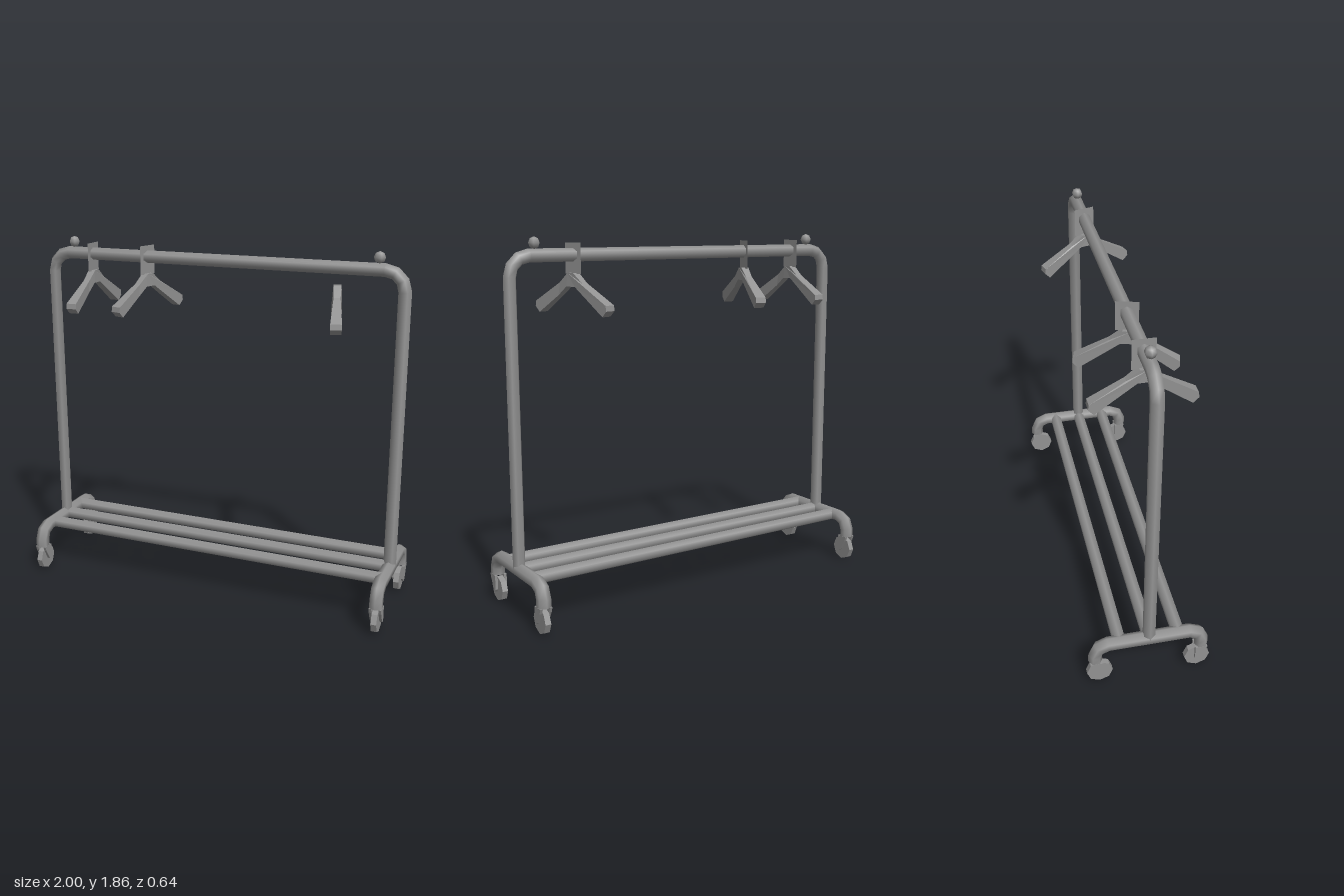
import * as THREE from 'three';

const grey = new THREE.MeshStandardMaterial({ color: 0x929292, side: THREE.DoubleSide });
const flatGrey = new THREE.MeshStandardMaterial({ color: 0x929292, flatShading: true, side: THREE.DoubleSide });

const v3 = (x, y, z) => new THREE.Vector3(x, y, z);

function addMesh(parent, name, geometry, material = flatGrey) {
  const mesh = new THREE.Mesh(geometry, material);
  mesh.name = name;
  parent.add(mesh);
  return mesh;
}

// Polyline in one plane, with frames that keep the tube's corners in that plane
class PlanarPath extends THREE.Curve {
  constructor(points, planeNormal) {
    super();
    this.points = points;
    this.planeNormal = planeNormal;
  }
  getPoint(t, target = v3(0, 0, 0)) {
    return target.copy(this.points[Math.round(t * (this.points.length - 1))]);
  }
  getPointAt(t, target) {
    return this.getPoint(t, target);
  }
  computeFrenetFrames() {
    const p = this.points, last = p.length - 1;
    const tangents = p.map((q, i) => {
      const t = v3(0, 0, 0);
      if (i > 0) t.add(q.clone().sub(p[i - 1]).normalize());
      if (i < last) t.add(p[i + 1].clone().sub(q).normalize());
      return t.normalize();
    });
    const normals = tangents.map((t) => this.planeNormal.clone().cross(t));
    return { tangents, normals, binormals: p.map(() => this.planeNormal.clone()) };
  }
}

// Six-sided pipe
function pipe(points, planeNormal, radius) {
  return new THREE.TubeGeometry(new PlanarPath(points, planeNormal), points.length - 1, radius, 6);
}

// Symmetric arch: two legs at +-half, a top at height, bent corners; [across, up] pairs
function archPoints(half, bottom, top, bend, steps) {
  const side = [[half, bottom]];
  for (let i = 0; i <= steps; i++) {
    const a = (i / steps) * (Math.PI / 2);
    side.push([half - bend + bend * Math.cos(a), top - bend + bend * Math.sin(a)]);
  }
  return [...side, ...side.map(([u, y]) => [-u, y]).reverse()];
}

// Wheel held between two tapered fork plates, at the end of a foot
function makeCaster() {
  const caster = new THREE.Group();
  caster.name = 'caster';
  const wheel = new THREE.CylinderGeometry(0.066, 0.066, 0.03, 8).rotateZ(Math.PI / 2);
  addMesh(caster, 'wheel', wheel).position.set(0, 0.066, 0.252);

  const plate = new THREE.Shape([
    [0.3, 0.141], [0.238, 0.141], [0.238, 0.065],
    [0.247, 0.052], [0.26, 0.06], [0.29, 0.115],
  ].map(([z, y]) => new THREE.Vector2(-z, y)));
  for (const x of [-0.032, 0.018]) {
    const g = new THREE.ExtrudeGeometry(plate, { depth: 0.014, bevelEnabled: false });
    addMesh(caster, 'forkPlate', g.rotateY(Math.PI / 2)).position.x = x;
  }
  const cap = new THREE.CircleGeometry(0.036, 6).rotateX(Math.PI / 2).rotateY(Math.PI / 2);
  addMesh(caster, 'footCap', cap).position.set(0, 0.141, 0.273);
  return caster;
}

// Hanger: solid shoulders, slimmest beside the neck and widest at the tips, and a flat hook plate
function makeHanger() {
  const hanger = new THREE.Group();
  hanger.name = 'hanger';
  const half = [
    [0.02, 1.688], [0.08, 1.64], [0.248, 1.543], [0.251, 1.516],
    [0.224, 1.488], [0.09, 1.577], [0.03, 1.622],
  ];
  const outline = [...half, ...half.map(([z, y]) => [-z, y]).reverse()];
  const body = new THREE.ExtrudeGeometry(
    new THREE.Shape(outline.map(([z, y]) => new THREE.Vector2(z, y))),
    { depth: 2, bevelEnabled: false },
  );
  body.translate(0, 0, -1).rotateY(Math.PI / 2);
  const p = body.attributes.position;
  for (let i = 0; i < p.count; i++) {
    const away = Math.abs(p.getZ(i));
    const halfWidth = away < 0.05 ? 0.02 : THREE.MathUtils.mapLinear(away, 0.09, 0.25, 0.0175, 0.028);
    p.setX(i, p.getX(i) * halfWidth);
  }
  addMesh(hanger, 'shoulders', body);

  const hook = new THREE.PlaneGeometry(0.11, 0.15).rotateY(Math.PI / 2);
  addMesh(hanger, 'hookPlate', hook).position.y = 1.758;
  return hanger;
}

export function createModel() {
  const rack = new THREE.Group();
  rack.name = 'clothesRack';

  // Posts and hanging rail in one bent pipe
  const frame = archPoints(0.966, 0.25, 1.775, 0.1, 3).map(([x, y]) => v3(x, y, 0));
  addMesh(rack, 'frame', pipe(frame, v3(0, 0, 1), 0.033), grey);

  // Lower shelf bars
  for (const z of [-0.15, 0, 0.15]) {
    const ends = [v3(-0.966, 0.243, z), v3(0.966, 0.243, z)];
    addMesh(rack, 'shelfBar', pipe(ends, v3(0, 0, 1), 0.034), grey);
  }

  // Feet with casters, and knobs on the rail
  const foot = archPoints(0.273, 0.141, 0.244, 0.066, 2).map(([z, y]) => v3(0, y, z));
  for (const side of [-1, 1]) {
    const footMesh = addMesh(rack, 'foot', pipe(foot, v3(1, 0, 0), 0.036), grey);
    footMesh.position.x = side * 0.966;
    for (const turn of [0, Math.PI]) {
      const caster = makeCaster();
      caster.position.x = side * 0.966;
      caster.rotation.y = turn;
      rack.add(caster);
    }
    const knob = addMesh(rack, 'knob', new THREE.SphereGeometry(0.03, 6, 4), grey);
    knob.position.set(side * 0.836, 1.834, 0);
  }

  // Hangers, two of them turned on the rail
  for (const [x, degrees] of [[-0.725, 0], [-0.4, -15.5], [0.633, 15.5]]) {
    const hanger = makeHanger();
    hanger.position.x = x;
    hanger.rotation.y = THREE.MathUtils.degToRad(degrees);
    rack.add(hanger);
  }
  return rack;
}
